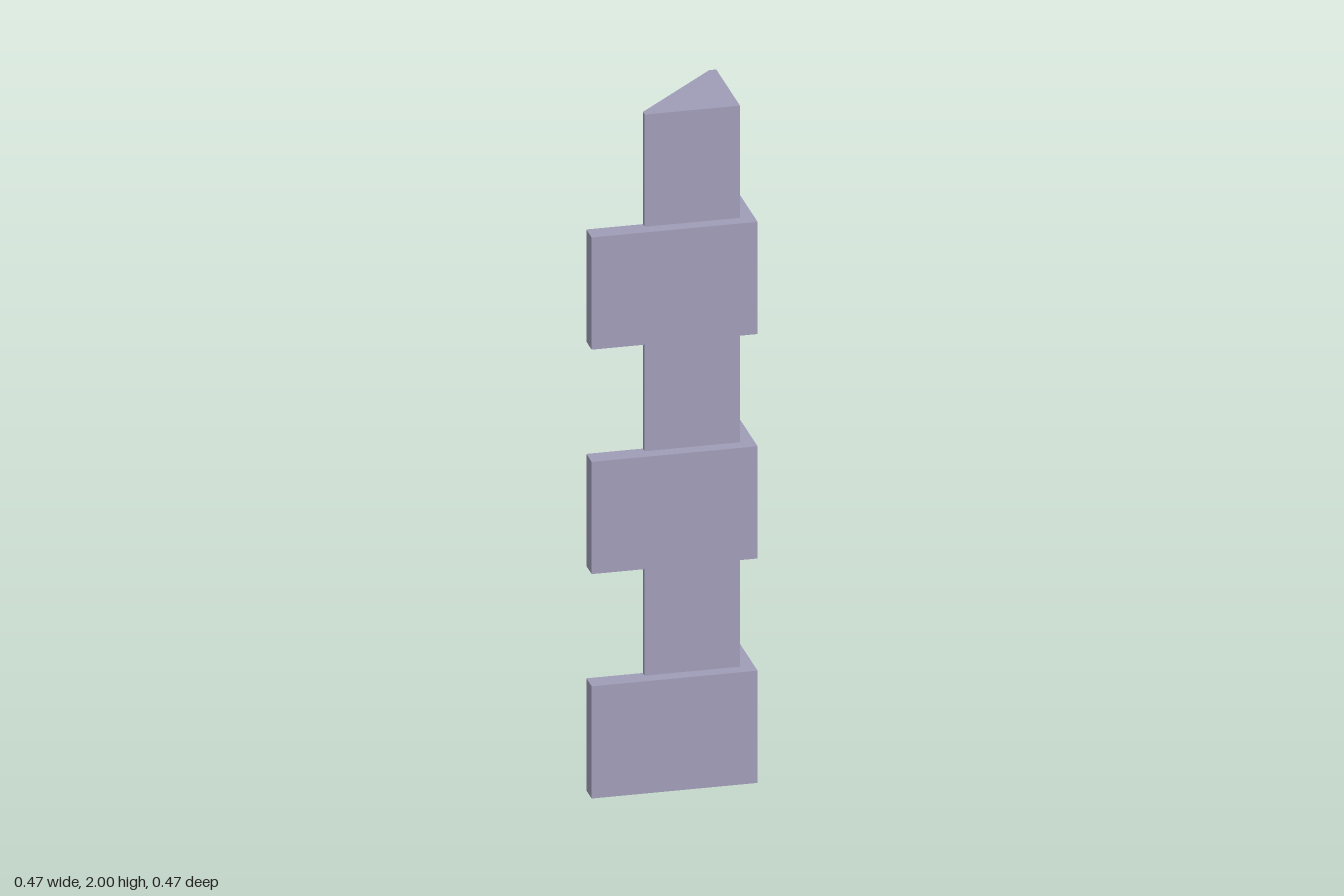
import * as THREE from 'three';

const material = new THREE.MeshStandardMaterial({ color: 0xa09cb8, flatShading: true });

// Upright prism from a plan outline of [x, z] points
function prism(name, plan, height, y) {
  const shape = new THREE.Shape(plan.map(([x, z]) => new THREE.Vector2(x, -z)));
  const geometry = new THREE.ExtrudeGeometry(shape, { depth: height, bevelEnabled: false });
  geometry.rotateX(-Math.PI / 2);
  const mesh = new THREE.Mesh(geometry, material);
  mesh.name = name;
  mesh.position.y = y;
  return mesh;
}

export function createModel() {
  const group = new THREE.Group();
  group.name = 'cornerQuoin';

  const outer = 0.235;  // outer face of the blocks
  const inner = 0.175;  // inner face of the blocks
  const face = 0.195;   // outer face of the core
  const end = -0.075;   // where the core's faces stop
  const course = 1 / 3; // block height and gap

  // Full-height core with a diagonal back
  group.add(prism('core', [
    [end, inner], [end, face], [face, face], [face, end], [inner, end],
  ], 2, 0));

  // L-shaped corner blocks, every other course
  for (let i = 0; i < 3; i++) {
    group.add(prism(`cornerBlock${i + 1}`, [
      [-outer, inner], [-outer, outer], [outer, outer],
      [outer, -outer], [inner, -outer], [inner, inner],
    ], course, i * 2 * course));
  }
  return group;
}
